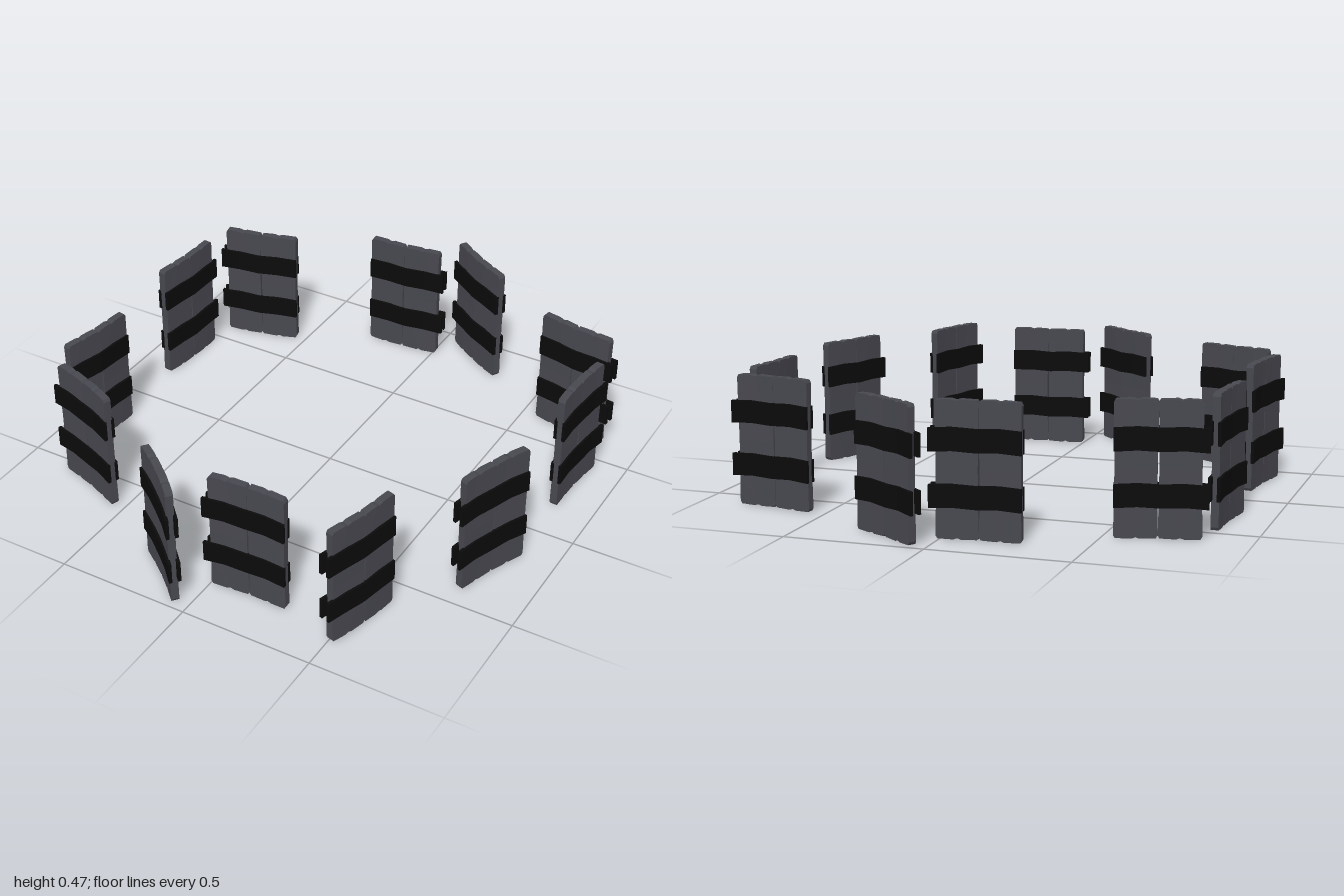
import * as THREE from 'three';

const plankMat = new THREE.MeshStandardMaterial({ color: 0x47474f, flatShading: true });
plankMat.name = 'dark timber';
const bandMat = new THREE.MeshStandardMaterial({ color: 0x0b0b0b, flatShading: true });
bandMat.name = 'black iron';

const LENGTH = 0.316;    // band length, hinge end to free end
const OVERHANG = 0.022;  // how far the bands stick out past the planks
const HEIGHT = 0.47;
const PLANK_T = 0.028;
const BAND_T = 0.012;

// Bow the flat geometry gently along its length
function bow(geo, side) {
  const p = geo.attributes.position;
  for (let i = 0; i < p.count; i++) {
    const t = (p.getX(i) / LENGTH) * 2 - 1;
    p.setZ(i, p.getZ(i) + side * 0.009 * (0.5 - t * t));
  }
  geo.computeVertexNormals();
  return geo;
}

// Worn plank: chipped corners, notched ends and slightly hollow long edges
function plankGeometry(x0, x1, side) {
  const c = 0.006, mid = (x0 + x1) / 2, h = HEIGHT;
  const s = new THREE.Shape();
  const outline = [
    [x0 + c, 0.002], [mid - 0.012, 0], [mid, 0.005], [mid + 0.014, 0], [x1 - c, 0.002],
    [x1, 0.012], [x1 - 0.002, 0.1], [x1 - 0.003, h / 2], [x1 - 0.001, h - 0.1], [x1, h - 0.012],
    [x1 - c, h - 0.002], [mid + 0.02, h], [mid + 0.004, h - 0.005], [mid - 0.01, h], [x0 + c, h - 0.002],
    [x0, h - 0.012], [x0 + 0.001, h - 0.1], [x0 + 0.003, h / 2], [x0 + 0.002, 0.1], [x0, 0.012],
  ];
  s.setFromPoints(outline.map(([x, y]) => new THREE.Vector2(x, y)));
  const geo = new THREE.ExtrudeGeometry(s, { depth: PLANK_T, bevelEnabled: false });
  geo.translate(0, 0, -PLANK_T / 2);
  return bow(geo, side);
}

// Iron strap on one face of the door
function bandGeometry(y, face, side) {
  const geo = new THREE.BoxGeometry(LENGTH, 0.08, BAND_T, 4, 1, 1);
  geo.translate(LENGTH / 2, y, face * (PLANK_T / 2 + BAND_T / 2 - 0.004));
  const p = geo.attributes.position;
  for (let i = 0; i < p.count; i++) { // slight hammered waviness
    const k = Math.round((p.getX(i) / LENGTH) * 4);
    p.setY(i, p.getY(i) + (k % 2 ? 0.003 : -0.001));
  }
  return bow(geo, side);
}

function makeDoor(side) {
  const door = new THREE.Group();
  const add = (geo, mat, name) => {
    const m = new THREE.Mesh(geo, mat);
    m.name = name;
    door.add(m);
  };
  const w = (LENGTH - OVERHANG) / 2;
  for (let i = 0; i < 2; i++) add(plankGeometry(i * w, (i + 1) * w, side), plankMat, 'plank');
  for (const y of [0.146, 0.336])
    for (const face of [-1, 1]) add(bandGeometry(y, face, side), bandMat, 'ironBand');
  return door;
}

export function createModel() {
  const model = new THREE.Group();
  model.name = 'ringOfGates';

  // Doors in pairs, left then right: hinge x, z and free end x, z
  const doors = [
    [-0.28, -0.825, 0.035, -0.85], [0.298, -0.812, 0.03, -0.98],
    [0.555, -0.655, 0.868, -0.605], [0.842, -0.165, 0.87, -0.48],
    [0.855, 0.14, 0.745, 0.44], [0.58, 0.59, 0.5, 0.893],
    [0.297, 0.797, -0.018, 0.81], [-0.275, 0.778, -0.032, 0.98],
    [-0.54, 0.628, -0.836, 0.525], [-0.82, 0.14, -0.87, 0.45],
    [-0.86, -0.18, -0.835, -0.495], [-0.54, -0.658, -0.845, -0.588],
  ];
  doors.forEach(([hx, hz, fx, fz], i) => {
    const left = i % 2 === 0;
    const door = makeDoor(left ? 1 : -1);
    door.name = left ? 'leftGateDoor' : 'rightGateDoor';
    const a = Math.atan2(fz - hz, fx - hx);
    door.rotation.y = -a;
    door.position.set((hx + fx - Math.cos(a) * LENGTH) / 2, 0, (hz + fz - Math.sin(a) * LENGTH) / 2);
    model.add(door);
  });
  return model;
}
